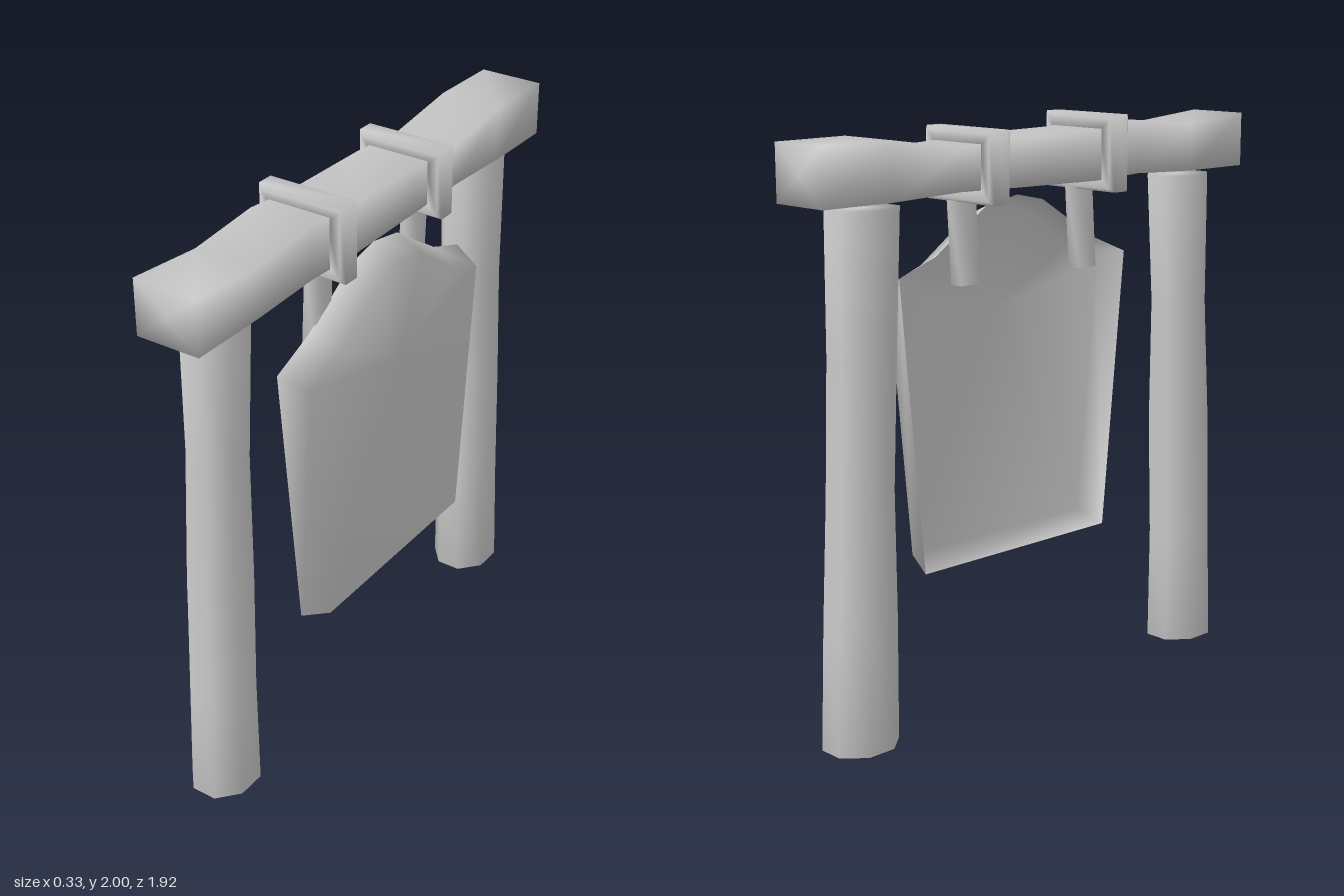
import * as THREE from 'three';

// Skin a list of cross-sections (arrays of [x, y, z]); caps: 'both', 'end' or 'wrap'
function loft(name, rings, caps, doubleSided = false) {
  const n = rings[0].length, m = rings.length;
  const pos = rings.flat();
  const tris = [];
  const bands = caps === 'wrap' ? m : m - 1;
  for (let i = 0; i < bands; i++) {
    for (let j = 0; j < n; j++) {
      const k = (j + 1) % n, next = (i + 1) % m;
      const a = i * n + j, b = i * n + k, c = next * n + k, d = next * n + j;
      tris.push([a, b, c], [a, c, d]);
    }
  }
  const cap = (r, flip) => {
    const centre = [0, 1, 2].map((q) => rings[r].reduce((s, p) => s + p[q], 0) / n);
    const c = pos.push(centre) - 1;
    for (let j = 0; j < n; j++) {
      const a = r * n + j, b = r * n + (j + 1) % n;
      tris.push(flip ? [c, b, a] : [c, a, b]);
    }
  };
  if (caps === 'both') cap(0, true);
  if (caps !== 'wrap') cap(m - 1, false);

  // Turn the faces outwards, judged by the signed volume about the middle
  const v = pos.map((p) => new THREE.Vector3(...p));
  const mid = v.reduce((s, p) => s.add(p), new THREE.Vector3()).divideScalar(v.length);
  const rel = v.map((p) => p.clone().sub(mid));
  let volume = 0;
  for (const [a, b, c] of tris) volume += rel[a].dot(rel[b].clone().cross(rel[c]));
  if (volume < 0) tris.forEach((t) => t.reverse());

  const geo = new THREE.BufferGeometry().setFromPoints(v);
  geo.setIndex(tris.flat());
  geo.computeVertexNormals();
  const mat = new THREE.MeshStandardMaterial({
    color: 0xcccccc,
    side: doubleSided ? THREE.DoubleSide : THREE.FrontSide,
  });
  const mesh = new THREE.Mesh(geo, mat);
  mesh.name = name;
  return mesh;
}

// Slightly crooked eight-sided post; rows are [y, xMin, xMax, zMin, zMax]
function post(name, rows) {
  const t = Math.tan(Math.PI / 8);
  const unit = [[1, t], [t, 1], [-t, 1], [-1, t], [-1, -t], [-t, -1], [t, -1], [1, -t]];
  return loft(name, rows.map(([y, x0, x1, z0, z1]) => unit.map(([u, w]) =>
    [(x0 + x1) / 2 + u * (x1 - x0) / 2, y, (z0 + z1) / 2 + w * (z1 - z0) / 2])), 'both');
}

// Square band around the beam, with its outer rim narrowed
function band(name, z, top) {
  const yMid = (top + 1.74) / 2, h = (top - 1.74) / 2;
  const section = [[0.055, -0.045], [0.012, -0.045], [0, -0.03], [0, 0.03], [0.012, 0.045], [0.055, 0.045]];
  const corners = [[1, 1], [-1, 1], [-1, -1], [1, -1]];
  return loft(name, corners.map(([sx, sy]) => section.map(([inset, dz]) =>
    [sx * (0.163 - inset), yMid + sy * (h - inset), z + dz])), 'wrap');
}

// Strap hanging from the band behind the board, leaning outwards
function strap(name, z0, z1) {
  const row = (y, z) => [[0.015, y, z - 0.042], [0.065, y, z - 0.042], [0.065, y, z + 0.042], [0.015, y, z + 0.042]];
  return loft(name, [row(1.46, z1), row(1.8, z0)], 'both');
}

export function createModel() {
  const model = new THREE.Group();
  model.name = 'hangingSign';

  // Posts
  model.add(post('frontPost', [
    [0, -0.12, 0.097, 0.66, 0.91],
    [0.42, -0.115, 0.09, 0.66, 0.893],
    [0.85, -0.112, 0.085, 0.642, 0.88],
    [1.3, -0.105, 0.08, 0.645, 0.85],
    [1.76, -0.11, 0.09, 0.62, 0.85],
  ]));
  model.add(post('backPost', [
    [0, -0.12, 0.097, -0.905, -0.655],
    [0.42, -0.115, 0.09, -0.89, -0.65],
    [0.85, -0.108, 0.09, -0.865, -0.65],
    [1.3, -0.105, 0.085, -0.85, -0.63],
    [1.76, -0.11, 0.09, -0.845, -0.61],
  ]));

  // Wavy crossbeam; rows are [z, bottom, top]
  const beam = [
    [0.96, 1.78, 1.97], [0.68, 1.78, 1.945], [0.41, 1.79, 1.97], [0.2, 1.78, 1.95],
    [-0.16, 1.785, 1.945], [-0.41, 1.79, 1.93], [-0.69, 1.78, 1.97], [-0.96, 1.78, 1.968],
  ];
  model.add(loft('crossbeam', beam.map(([z, b, t]) =>
    [[-0.115, b, z], [0.113, b, z], [0.113, t, z], [-0.115, t, z]]), 'both'));

  // Bands and straps
  model.add(band('frontBand', 0.272, 2), strap('frontStrap', 0.272, 0.295));
  model.add(band('backBand', -0.28, 1.98), strap('backStrap', -0.275, -0.255));

  // Board: open-backed shell with sloping rim; points are [z, y]
  const outer = [
    [0.43, 0.485], [0.53, 1.49], [0.36, 1.56], [0.12, 1.71], [0, 1.735],
    [-0.14, 1.71], [-0.37, 1.56], [-0.525, 1.505], [-0.43, 0.485],
  ];
  const ring = (x, inset) => outer.map(([z, y]) =>
    [x, y + (y < 1 ? inset : -inset), z * (1 - inset * 1.7)]);
  model.add(loft('board', [ring(0.06, 0), ring(0.162, 0.04)], 'end', true));

  return model;
}
